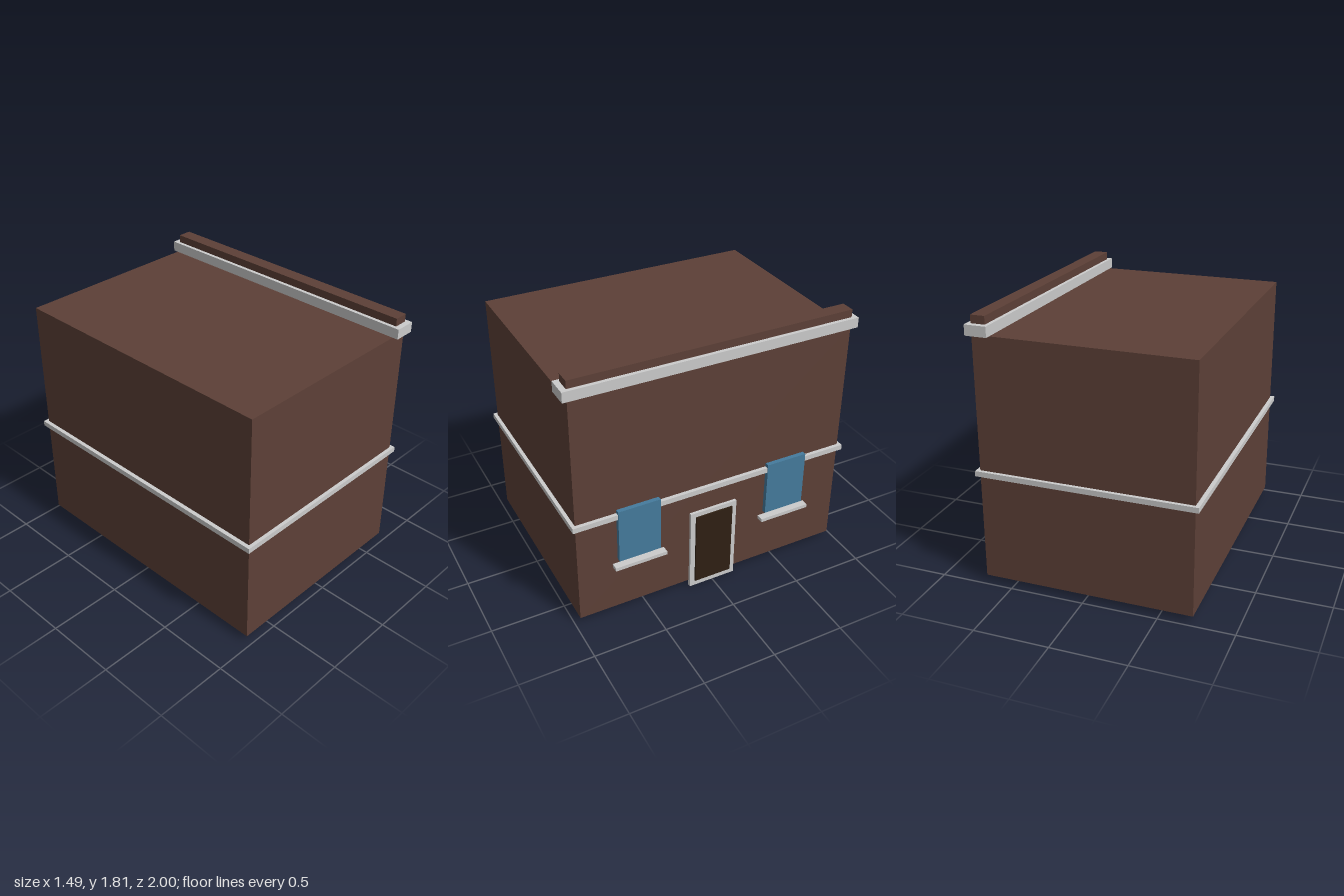
import * as THREE from 'three';

const mat = (color) => new THREE.MeshStandardMaterial({ color });

export function createModel() {
  const house = new THREE.Group();
  house.name = 'house';
  const brick = mat(0x5d4037), stone = mat(0xcccccc), glass = mat(0x457b9d), wood = mat(0x2f2013);

  // Box given by its extents on each axis
  const box = (name, material, [x0, x1], [y0, y1], [z0, z1], parent = house) => {
    const mesh = new THREE.Mesh(new THREE.BoxGeometry(x1 - x0, y1 - y0, z1 - z0), material);
    mesh.position.set((x0 + x1) / 2, (y0 + y1) / 2, (z0 + z1) / 2);
    mesh.name = name;
    parent.add(mesh);
    return mesh;
  };

  // Main block and the band between storeys
  box('walls', brick, [-0.72, 0.695], [0.043, 1.688], [-0.963, 0.963]);
  box('storeyBand', stone, [-0.747, 0.72], [0.764, 0.8], [-0.987, 0.987]);

  // Cornice and parapet along the street side
  box('cornice', stone, [0.575, 0.72], [1.688, 1.757], [-1, 1]);
  box('parapet', brick, [0.6, 0.695], [1.757, 1.81], [-0.963, 0.963]);

  // Windows with sills
  for (const [name, z] of [['frontWindow', 0.542], ['backWindow', -0.538]]) {
    const group = new THREE.Group();
    group.name = name;
    box('pane', glass, [0.69, 0.725], [0.433, 0.824], [z - 0.146, z + 0.146], group);
    box('sill', stone, [0.69, 0.745], [0.38, 0.405], [z - 0.182, z + 0.182], group);
    house.add(group);
  }

  // Door and its surround
  box('door', wood, [0.69, 0.726], [0.043, 0.58], [-0.132, 0.137]);
  const outline = new THREE.Shape();
  outline.moveTo(-0.172, 0).lineTo(0.167, 0).lineTo(0.167, 0.612).lineTo(-0.172, 0.612).closePath();
  const opening = new THREE.Path();
  opening.moveTo(-0.137, 0.043).lineTo(-0.137, 0.58).lineTo(0.132, 0.58).lineTo(0.132, 0.043).closePath();
  outline.holes.push(opening);
  const frame = new THREE.Mesh(new THREE.ExtrudeGeometry(outline, { depth: 0.027, bevelEnabled: false }), stone);
  frame.rotation.y = Math.PI / 2;
  frame.position.x = 0.688;
  frame.name = 'doorFrame';
  house.add(frame);

  return house;
}
